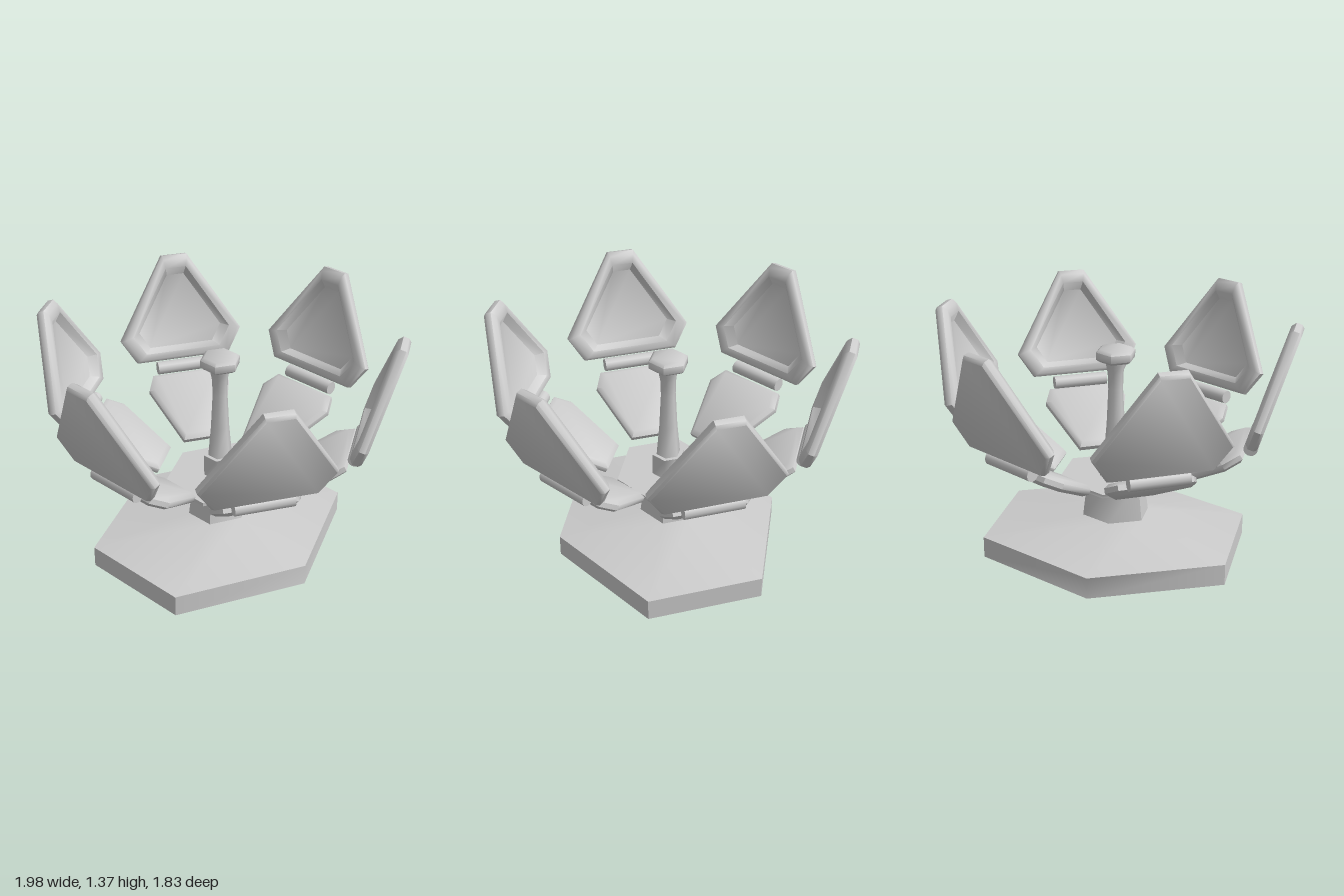
import * as THREE from 'three';
import { toCreasedNormals } from 'three/addons/utils/BufferGeometryUtils.js';

const material = new THREE.MeshStandardMaterial({ color: 0xcccccc });

// Skins a list of closed rings (counter-clockwise, first to last) and caps both ends.
function loft(rings, crease) {
  const n = rings[0].length, index = [];
  for (let r = 0; r < rings.length - 1; r++) {
    for (let j = 0; j < n; j++) {
      const a = r * n + j, b = r * n + (j + 1) % n;
      index.push(a, b, b + n, a, b + n, a + n);
    }
  }
  const last = (rings.length - 1) * n;
  for (let j = 1; j < n - 1; j++) {
    index.push(0, j + 1, j, last, last + j, last + j + 1);
  }
  const geometry = new THREE.BufferGeometry();
  geometry.setAttribute('position', new THREE.Float32BufferAttribute(rings.flat(2), 3));
  geometry.setIndex(index);
  return toCreasedNormals(geometry, crease);
}

// Upright six-sided solid from levels of [y, half width in x, half depth in z].
function hexSolid(levels) {
  const rings = levels.map(([y, hx, hz]) =>
    Array.from({ length: 6 }, (_, i) => {
      const a = i * Math.PI / 3;
      return [hx * Math.sin(a) / Math.sin(Math.PI / 3), y, hz * Math.cos(a)];
    }));
  return loft(rings, 1.1);
}

// Petal plate from half an outline; levels are [scale, depth], from inside to outside.
function petalSolid(half, centreY, levels) {
  const outline = [...half, ...half.map(([x, y]) => [-x, y]).reverse()];
  const rings = levels.map(([s, z]) =>
    outline.map(([x, y]) => [x * s, centreY + (y - centreY) * s, z]));
  return loft(rings, 0.9);
}

function addMesh(parent, name, geometry) {
  const mesh = new THREE.Mesh(geometry, material);
  mesh.name = name;
  parent.add(mesh);
  return mesh;
}

export function createModel() {
  const model = new THREE.Group();
  model.name = 'flowerPedestal';

  // Foot and column, carrying a thin plate
  addMesh(model, 'base', hexSolid([
    [0, 0.68, 0.64], [0.12, 0.68, 0.64], [0.21, 0.168, 0.165], [0.43, 0.145, 0.135],
  ]));
  addMesh(model, 'plate', hexSolid([[0.425, 0.29, 0.295], [0.445, 0.29, 0.295]]));

  // Central pistil: socket, waisted stem and bevelled head
  const regular = (levels) => hexSolid(levels.map(([y, r]) => [y, r * 0.866, r]));
  addMesh(model, 'stemSocket', regular([[0.44, 0.092], [0.57, 0.092]]));
  addMesh(model, 'stem', regular([
    [0.57, 0.068], [0.75, 0.052], [0.95, 0.042], [1.04, 0.045], [1.12, 0.06],
  ]));
  addMesh(model, 'stemHead', regular([
    [1.11, 0.09], [1.125, 0.11], [1.165, 0.11], [1.18, 0.09],
  ]));

  // Shared petal geometries
  const lowerGeometry = petalSolid([[0.12, 0], [0.245, 0.36], [0.2, 0.46]], 0.25,
    [[0.88, -0.033], [1, -0.014], [1, 0.014], [0.88, 0.033]]);
  const upperGeometry = petalSolid([[0.28, 0], [0.365, 0.14], [0.075, 0.615]], 0.25, [
    [0.68, 0.006], [0.8, -0.034], [0.93, -0.034], [1, -0.014], [1, 0.018], [0.96, 0.034],
  ]);
  const hingeGeometry = new THREE.CylinderGeometry(0.038, 0.038, 0.32, 16);

  // Six hinged petals around the axis
  for (let i = 0; i < 6; i++) {
    const petal = new THREE.Group();
    petal.name = 'petal' + (i + 1);
    petal.rotation.y = Math.PI / 2 + i * Math.PI / 3;
    model.add(petal);

    const lower = addMesh(petal, 'lowerPetal', lowerGeometry);
    lower.position.set(0, 0.475, 0.325);
    lower.rotation.x = 1.06;

    const hinge = addMesh(petal, 'hinge', hingeGeometry);
    hinge.position.set(0, 0.733, 0.768);
    hinge.rotation.z = Math.PI / 2;

    const upper = addMesh(petal, 'upperPetal', upperGeometry);
    upper.position.set(0, 0.778, 0.78);
    upper.rotation.x = 0.304;
  }
  return model;
}
